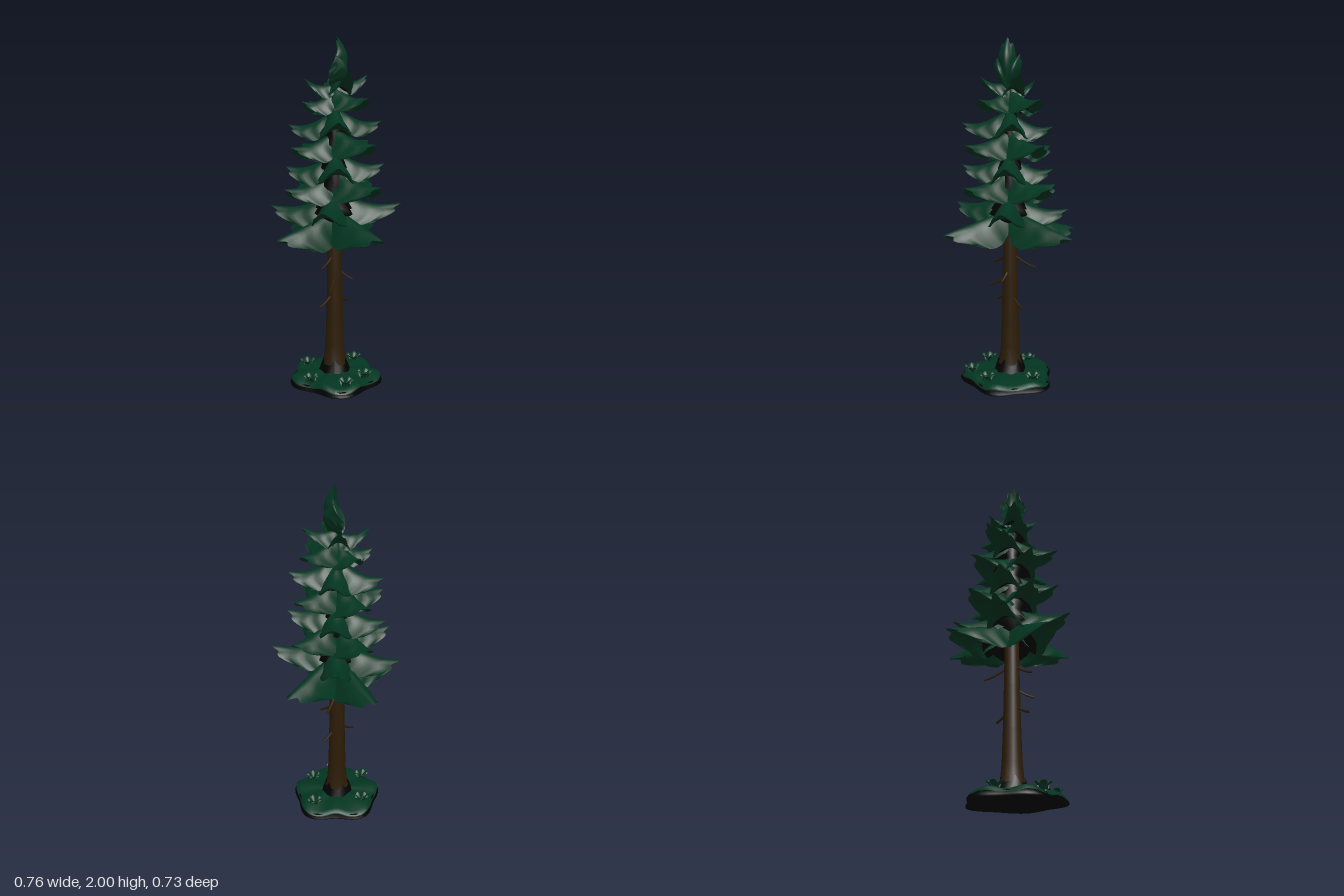
import * as THREE from 'three';

const green = new THREE.MeshStandardMaterial({ color: 0x033521 });
green.name = 'needle green';
const brown = new THREE.MeshStandardMaterial({ color: 0x2c1c06 });
brown.name = 'bark brown';
const dark = new THREE.MeshStandardMaterial({ color: 0x010101, side: THREE.DoubleSide });
dark.name = 'shadow black';

const AXIS = { x: -0.005, z: 0.03 }; // trunk centre line

function add(parent, name, geometry, material) {
  const mesh = new THREE.Mesh(geometry, material);
  mesh.name = name;
  parent.add(mesh);
  return mesh;
}

// Relative length of a frond from its midrib to its side: three blunt lobes
const LOBES = [1, 0.985, 0.94, 0.89, 0.87, 0.885, 0.89, 0.85, 0.77, 0.68, 0.56];

// Thick arched frond growing along +x; rise = tip height, dip = sag, arch = drop of the sides.
// Group 1 is the inner part of the underside.
function frondGeometry(length, halfWidth, rise, dip, arch, thick) {
  const nu = 14, nv = 20, pos = [], index = [];
  for (const side of [1, -0.6]) {
    const start = pos.length / 3;
    for (let i = 0; i <= nu; i++) {
      const s = i / nu;
      for (let j = 0; j <= nv; j++) {
        const v = j / 10 - 1, reach = s * LOBES[Math.round(Math.abs(v) * 10)];
        const w = 0.4 + 0.6 * Math.sin(Math.PI / 2 * Math.min(1, s * 1.5)) - 0.25 * s ** 5
          + 0.05 * Math.sin(s * 20);
        const body = thick * side * (1 - v * v) * (1 - s ** 4);
        const sag = dip * Math.sin(Math.PI * reach ** 1.25) + arch * v * v * Math.sin(Math.PI * (0.15 + 0.65 * s));
        pos.push(length * reach, rise * reach - sag + body, v * w * halfWidth);
        if (i < nu && j < nv) {
          const a = start + i * (nv + 1) + j, b = a + 1, c = a + nv + 1, d = c + 1;
          if (side > 0) index.push(a, b, c, b, d, c);
          else index.push(a, c, b, b, c, d);
        }
      }
    }
  }
  const g = new THREE.BufferGeometry();
  g.setAttribute('position', new THREE.Float32BufferAttribute(pos, 3));
  g.setIndex(index);
  const row = nv * 6, inner = 6;
  g.addGroup(0, nu * row, 0);
  g.addGroup(nu * row, inner * row, 1);
  g.addGroup((nu + inner) * row, (nu - inner) * row, 0);
  g.computeVertexNormals();
  return g;
}

// Whorls from bottom to top: tip height, root height, half width, sag, side drop, tips as [x, z]
const TIERS = [
  [0.9, 1.0, 0.105, 0.015, 0.135, [[0.25, 0.36], [-0.32, 0.27], [0.21, -0.36], [-0.27, -0.31]]],
  [1.05, 1.09, 0.105, 0.045, 0.1, [[0.38, 0], [-0.38, -0.04], [-0.07, 0.37], [-0.04, -0.31]]],
  [1.17, 1.22, 0.105, 0.04, 0.095, [[0.25, 0.24], [-0.29, 0.16], [0.2, -0.24], [-0.22, -0.2]]],
  [1.28, 1.32, 0.105, 0.045, 0.095, [[0.28, 0], [-0.29, -0.02], [0.02, 0.31], [-0.02, -0.22]]],
  [1.4, 1.45, 0.1, 0.035, 0.09, [[0.22, 0.24], [-0.25, 0.16], [0.19, -0.2], [-0.2, -0.17]]],
  [1.52, 1.57, 0.095, 0.045, 0.085, [[0.26, -0.04], [-0.27, 0], [0.02, 0.31], [-0.01, -0.22]]],
  [1.65, 1.68, 0.08, 0.035, 0.07, [[0.19, 0.17], [-0.19, 0.1], [0.16, -0.18], [-0.15, -0.11]]],
  [1.78, 1.72, 0.065, 0.03, 0.055, [[0.18, -0.06], [-0.18, 0.06], [0.08, 0.19], [-0.04, -0.11]]],
];

function buildFoliage(root) {
  const foliage = new THREE.Group();
  foliage.name = 'foliage';
  TIERS.forEach(([tipY, rootY, half, dip, arch, tips], t) => {
    tips.forEach(([x, z], k) => {
      const dx = x - AXIS.x, dz = z - AXIS.z;
      const frond = add(foliage, `frond${t + 1}_${k + 1}`,
        frondGeometry(Math.hypot(dx, dz), half, tipY - rootY, dip, arch, half * 0.28), [green, dark]);
      frond.position.set(AXIS.x, rootY + (k % 2 ? -0.01 : 0.01), AXIS.z);
      frond.rotation.y = -Math.atan2(dz, dx);
    });
  });

  // Upright three-pronged leader at the top: length, half width, sideways lean
  const leader = new THREE.Group();
  leader.name = 'leader';
  leader.position.set(0.015, 1.72, 0.042);
  leader.rotation.y = Math.PI;
  [[0.28, 0.065, 0], [0.2, 0.045, 0.36], [0.18, 0.045, -0.36]].forEach(([length, half, lean], i) => {
    const prong = add(leader, `leaderProng${i + 1}`, frondGeometry(length, half, -0.015, -0.04, 0.07, 0.022), green);
    prong.rotation.set(lean, 0, Math.PI / 2);
  });
  foliage.add(leader);
  root.add(foliage);

  // Dark inner twigs, stepped inwards between the whorls
  const profile = [new THREE.Vector2(0.035, 0.94)];
  TIERS.forEach(([, y], t) => {
    const r = 0.125 - t * 0.013;
    profile.push(new THREE.Vector2(r, y - 0.05 + (t ? 0 : 0.06)), new THREE.Vector2(r * 0.55, y + 0.015 + (t ? 0 : 0.06)));
  });
  const core = add(root, 'innerTwigs', new THREE.LatheGeometry(profile.slice(0, -1), 14), dark);
  core.position.set(AXIS.x, 0, AXIS.z);
}

function buildTrunk(root) {
  const profile = [[0.085, 0.05], [0.065, 0.12], [0.056, 0.22], [0.05, 0.4], [0.045, 0.65], [0.04, 0.95], [0.02, 1.7]]
    .map(([r, y]) => new THREE.Vector2(r, y));
  add(root, 'trunk', new THREE.LatheGeometry(profile, 14), brown).position.set(AXIS.x, 0, AXIS.z);

  // Root flare with a ragged upper edge
  const flare = new THREE.CylinderGeometry(0.075, 0.098, 0.06, 20, 1, true);
  const p = flare.attributes.position;
  for (let i = 0; i < p.count; i++) {
    if (p.getY(i) > 0 && i % 4 === 0) {
      p.setXYZ(i, p.getX(i) * 0.9, p.getY(i) + 0.035, p.getZ(i) * 0.9);
    }
  }
  flare.computeVertexNormals();
  add(root, 'rootFlare', flare, dark).position.set(AXIS.x, 0.075, AXIS.z);

  // Dead twigs on the bare trunk, given by their tips
  const twigs = [[-0.08, 0.7, 0.15], [0.03, 0.7, -0.13], [0.1, 0.62, 0.06], [-0.03, 0.57, 0.16],
    [-0.09, 0.47, 0.13], [0.07, 0.46, -0.06]];
  twigs.forEach(([x, y, z], i) => {
    const curve = new THREE.QuadraticBezierCurve3(
      new THREE.Vector3(AXIS.x, y + 0.08, AXIS.z),
      new THREE.Vector3(x * 0.55, y + 0.015, AXIS.z + (z - AXIS.z) * 0.55),
      new THREE.Vector3(x, y, z));
    add(root, `twig${i + 1}`, new THREE.TubeGeometry(curve, 6, 0.007, 6), brown);
  });
}

// Uneven five-lobed outline of the ground patch
function outline(a) {
  return 1 + 0.075 * Math.cos(5 * a - 0.87) + 0.025 * Math.cos(3 * a + 2.25);
}

// Lathe whose radius and height follow the uneven outline
function groundGeometry(points, bump) {
  const g = new THREE.LatheGeometry(points.map(([r, y]) => new THREE.Vector2(r, y)), 60);
  const p = g.attributes.position;
  for (let i = 0; i < p.count; i++) {
    const x = p.getX(i), z = p.getZ(i), a = Math.atan2(z, x), k = outline(a), r = Math.hypot(x, z);
    p.setXYZ(i, x * k, p.getY(i) + bump * r * Math.sin(7 * a + 1), z * k);
  }
  g.computeVertexNormals();
  return g;
}

function buildGround(root) {
  const ground = new THREE.Group();
  ground.name = 'ground';
  ground.position.set(0, 0, 0.038);
  add(ground, 'soil', groundGeometry([[0, 0], [0.262, 0], [0.264, 0.01], [0.248, 0.032], [0, 0.036]], 0), dark);
  add(ground, 'moss',
    groundGeometry([[0.256, 0.022], [0.256, 0.034], [0.23, 0.05], [0.15, 0.058], [0, 0.068]], 0.04), green);

  // Small leafy tufts: angle and distance from the middle
  const tufts = [[0.5, 0.19], [1.3, 0.22], [2.3, 0.21], [3.6, 0.19], [5.3, 0.2]];
  tufts.forEach(([a, r], t) => {
    const tuft = new THREE.Group();
    tuft.name = `tuft${t + 1}`;
    tuft.position.set(Math.cos(a) * r, 0.046, Math.sin(a) * r);
    for (let k = 0; k < 5; k++) {
      const leaf = add(tuft, `tuftLeaf${k + 1}`, frondGeometry(0.05, 0.024, 0.04, -0.014, 0.012, 0.006), green);
      leaf.rotation.y = k * 1.257 + t;
    }
    ground.add(tuft);
  });
  root.add(ground);
}

export function createModel() {
  const model = new THREE.Group();
  model.name = 'pineTree';
  buildGround(model);
  buildTrunk(model);
  buildFoliage(model);
  return model;
}
